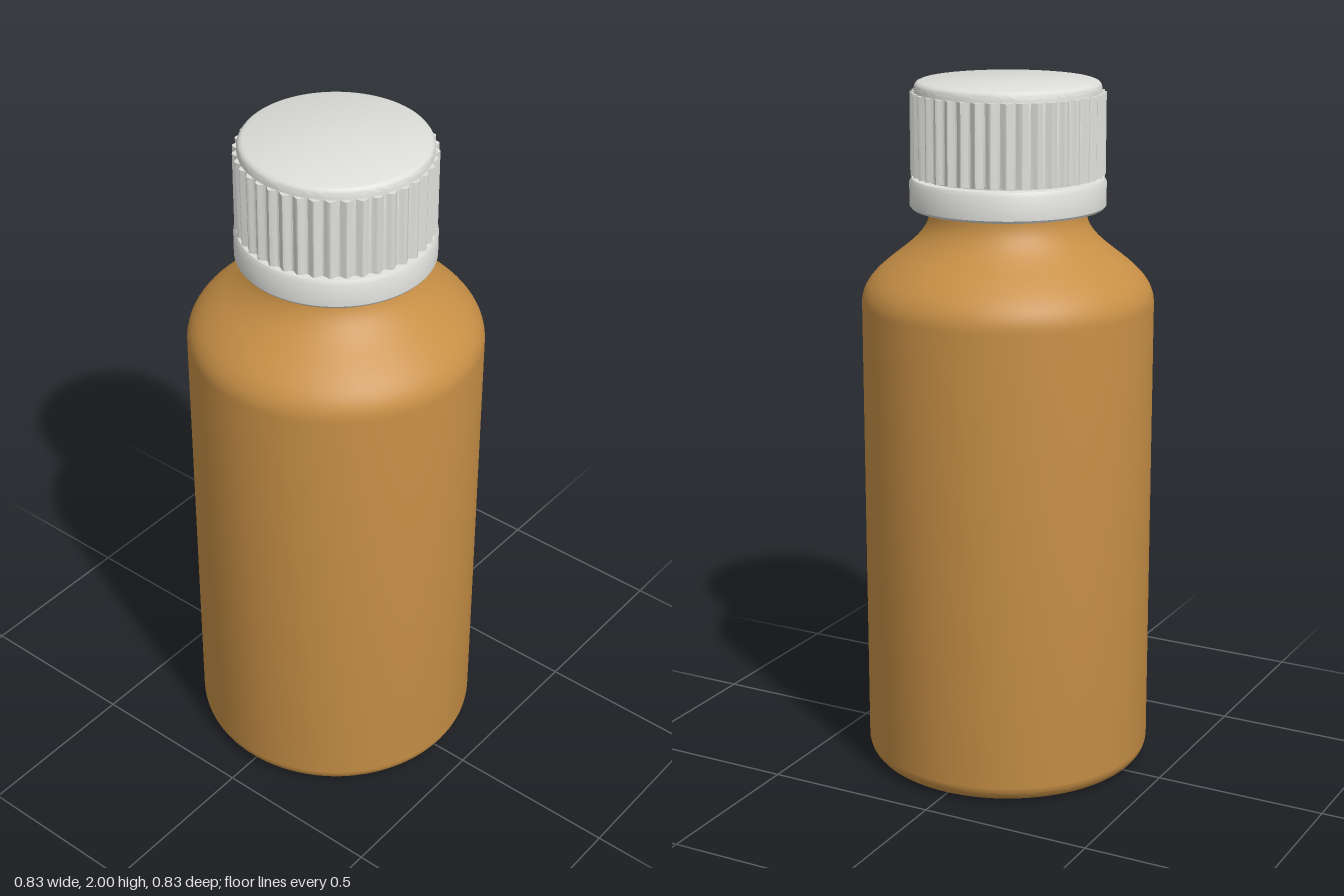
import * as THREE from 'three';
import { toCreasedNormals } from 'three/addons/utils/BufferGeometryUtils.js';

const RIDGES = 40;

export function createModel() {
  const model = new THREE.Group();
  const amber = new THREE.MeshStandardMaterial({ color: 0xc89046 });
  amber.name = 'amber';
  const white = new THREE.MeshStandardMaterial({ color: 0xdededb });
  white.name = 'capWhite';

  const add = (name, geometry, material) => {
    const mesh = new THREE.Mesh(toCreasedNormals(geometry, 0.6), material);
    mesh.name = name;
    model.add(mesh);
    return mesh;
  };
  const lathe = (points) =>
    new THREE.LatheGeometry(points.map(([x, y]) => new THREE.Vector2(x, y)), 96);

  // Bottle: rounded base, straight wall, sloping shoulder, neck and hidden bead
  const outline = new THREE.Path();
  outline.moveTo(0, 0);
  outline.lineTo(0.355, 0);
  outline.bezierCurveTo(0.39, 0, 0.415, 0.025, 0.415, 0.06);
  outline.lineTo(0.415, 1.375);
  outline.bezierCurveTo(0.415, 1.43, 0.375, 1.465, 0.32, 1.508);
  outline.bezierCurveTo(0.265, 1.55, 0.222, 1.585, 0.22, 1.64);
  outline.lineTo(0.22, 1.66);
  outline.lineTo(0.24, 1.68);
  outline.lineTo(0.24, 1.72);
  outline.lineTo(0, 1.72);
  add('bottle', lathe(outline.getPoints(12).map((p) => [p.x, p.y])), amber);

  // Tamper ring: hollow band below the cap
  add('tamperRing', lathe([
    [0.245, 1.735], [0.245, 1.648], [0.272, 1.648], [0.277, 1.655],
    [0.277, 1.72], [0.27, 1.732], [0.245, 1.735],
  ]), white);

  // Cap core with a softly rounded top edge
  add('capCore', lathe([
    [0, 1.722], [0.25, 1.722], [0.25, 1.745], [0.262, 1.745], [0.262, 1.98],
    [0.26, 1.989], [0.255, 1.996], [0.246, 2], [0, 2],
  ]), white);

  // Ridged grip: scalloped outline extruded up the cap
  const scallop = [];
  const steps = RIDGES * 8;
  for (let i = 0; i < steps; i++) {
    const a = (i / steps) * Math.PI * 2;
    const r = 0.2675 + 0.0065 * Math.cos(a * RIDGES);
    scallop.push(new THREE.Vector2(Math.cos(a) * r, Math.sin(a) * r));
  }
  const grip = new THREE.ExtrudeGeometry(new THREE.Shape(scallop), {
    depth: 0.23, bevelEnabled: false,
  });
  grip.rotateX(-Math.PI / 2);
  grip.translate(0, 1.74, 0);
  add('capGrip', grip, white);

  return model;
}
